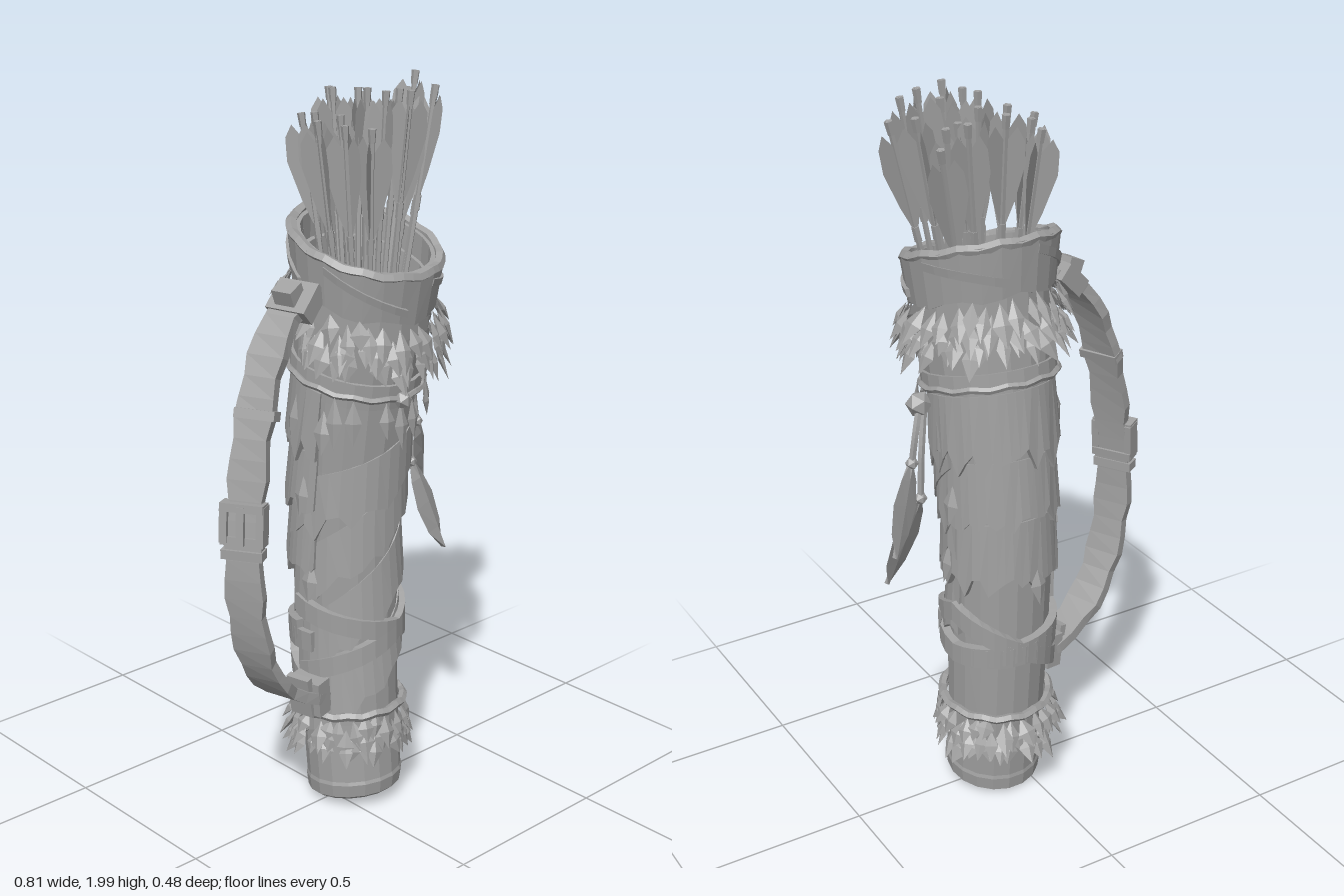
import * as THREE from 'three';
import { mergeGeometries } from 'three/addons/utils/BufferGeometryUtils.js';

const V = (x, y, z) => new THREE.Vector3(x, y, z);
const UP = V(0, 1, 0), rad = THREE.MathUtils.degToRad, lerp = THREE.MathUtils.lerp;
let seed = 7;
const rnd = (a = 0, b = 1) => {
  seed = (seed * 16807) % 2147483647;
  return a + (b - a) * seed / 2147483647;
};

// Quiver profile: height, centre x, centre z, radius
const PROFILE = [
  [0, 0.067, 0.01, 0.128], [0.06, 0.067, 0.01, 0.131], [0.25, 0.067, -0.008, 0.133],
  [0.5, 0.066, -0.022, 0.138], [0.8, 0.066, -0.029, 0.146], [1.0, 0.07, -0.021, 0.153],
  [1.2, 0.075, -0.006, 0.163], [1.4, 0.082, 0.018, 0.173], [1.7, 0.086, 0.03, 0.18],
];

// Point on the leaning quiver wall; rings tilt more toward the mouth
function wall(deg, y, off = 0) {
  let i = 1;
  while (i < PROFILE.length - 1 && y > PROFILE[i][0]) i++;
  const a = PROFILE[i - 1], b = PROFILE[i], t = (y - a[0]) / (b[0] - a[0]);
  const r = lerp(a[3], b[3], t) + off, s = Math.sin(rad(deg)) * r;
  return V(lerp(a[1], b[1], t) + Math.cos(rad(deg)) * r, y + (0.15 - 0.3 * y) * s, lerp(a[2], b[2], t) + s);
}
const outward = deg => V(Math.cos(rad(deg)), 0, Math.sin(rad(deg)));

// Skin a run of cross-section loops, capping the ends when asked
function loft(sections, caps = true) {
  const pos = [], n = sections[0].length;
  const tri = (a, b, c) => pos.push(...a.toArray(), ...b.toArray(), ...c.toArray());
  for (let i = 0; i < sections.length - 1; i++) {
    const p = sections[i], q = sections[i + 1];
    for (let j = 0; j < n; j++) {
      const k = (j + 1) % n;
      tri(p[j], q[j], q[k]);
      tri(p[j], q[k], p[k]);
    }
  }
  if (caps) {
    const s = sections[0], e = sections[sections.length - 1];
    for (let j = 1; j < n - 1; j++) {
      tri(s[0], s[j], s[j + 1]);
      tri(e[0], e[j + 1], e[j]);
    }
  }
  const g = new THREE.BufferGeometry();
  g.setAttribute('position', new THREE.Float32BufferAttribute(pos, 3));
  g.computeVertexNormals();
  return g;
}

// Band around the quiver; top(t) and bottom(t) give its edge heights
function band(a0, a1, n, top, bottom, offTop, offBottom, inner = -0.01) {
  const full = Math.abs(a1 - a0) === 360, out = [];
  for (let i = 0; i <= n; i++) {
    const a = lerp(a0, a1, i / n), yt = top(i / n), yb = bottom(i / n);
    out.push([wall(a, yt, inner), wall(a, yt, offTop), wall(a, yb, offBottom), wall(a, yb, inner)]);
  }
  if (full) out[n] = out[0];
  return loft(out, !full);
}

// Flat diamond lock of fur, or hanging tooth, pointing along dir
function tuft(base, dir, normal, len, width) {
  const y = dir.clone().normalize(), x = y.clone().cross(normal).normalize(), z = x.clone().cross(y);
  const g = new THREE.OctahedronGeometry(1);
  g.scale(width, len / 2, width * 0.4);
  g.applyMatrix4(new THREE.Matrix4().makeBasis(x, y, z).setPosition(base.clone().addScaledVector(y, len / 2)));
  g.deleteAttribute('uv');
  return g;
}

// Rows of fur locks, lying flatter at the front than at the back
function fur(yTop, rows, count, step, off, len) {
  const parts = [];
  for (let r = 0; r < rows; r++) for (let i = 0; i < count; i++) {
    const a = (i + r * 0.5 + rnd(-0.3, 0.3)) * 360 / count, out = outward(a);
    const side = V(-out.z, 0, out.x).multiplyScalar(rnd(-0.35, 0.35));
    const dir = out.clone().multiplyScalar(rnd(0.35, 0.75) * (1 - 0.4 * out.z)).add(side).add(V(0, -1, 0));
    parts.push(tuft(wall(a, yTop - r * step + rnd(-0.01, 0.01), off), dir, out, len * rnd(0.75, 1.2), rnd(0.018, 0.028)));
  }
  return mergeGeometries(parts);
}

function tube(points, radius, seg = 12, closed = false) {
  return new THREE.TubeGeometry(new THREE.CatmullRomCurve3(points, closed), seg, radius, 5, closed);
}

function ring(y, off) {
  return Array.from({ length: 24 }, (_, i) => wall(i * 15, y + (i % 2) * 0.006, off));
}

export function createModel() {
  const model = new THREE.Group();
  const grey = new THREE.MeshStandardMaterial({ color: 0xa0a0a0, flatShading: true, side: THREE.DoubleSide });
  grey.name = 'plain grey';
  const add = (name, geometry, parent = model) => {
    const m = new THREE.Mesh(geometry, grey);
    m.name = name;
    parent.add(m);
    return m;
  };

  // Faceted body with a hollow mouth
  const circle = (y, off) => Array.from({ length: 18 }, (_, i) => wall(i * 20, y, off));
  add('body', loft([circle(0.018, -0.012), circle(0.028, 0), circle(0.065, 0.003), circle(0.075, 0),
    ...[0.25, 0.5, 0.8, 1, 1.2, 1.4, 1.52].map(y => circle(y, 0)), circle(1.52, -0.02), circle(1.25, -0.03)]));

  // Mouth rim with a rolled lip and a slanted lace
  add('rim', band(0, 360, 24, () => 1.585, i => 1.455 + 0.008 * Math.sin(i * 44), 0.024, 0.012, -0.01));
  add('rimLip', tube(ring(1.58, 0.012), 0.015, 48, true));
  for (let k = 0; k < 4; k++)
    add('rimLace', band(k * 90 + 10, k * 90 + 75, 6, t => 1.5 + 0.07 * t, t => 1.478 + 0.07 * t, 0.026, 0.022));

  // Fur collars and their cords
  add('upperFur', fur(1.45, 3, 34, 0.036, 0.016, 0.095));
  add('lowerFur', fur(0.275, 3, 28, 0.03, 0.01, 0.08));
  add('lowerCord', tube(ring(0.28, 0.014), 0.012, 48, true));
  add('upperCord', tube(ring(1.235, 0.012), 0.009, 48, true));
  add('upperBand', band(0, 360, 24, () => 1.275, () => 1.235, 0.008, 0.01));

  // Torn hide: steep diagonal wraps in front, ragged layers behind
  const ragged = (depth, n) => {
    const cuts = Array.from({ length: n + 1 }, (_, i) => depth * rnd(0, i % 3 ? 0.6 : 1.1));
    return t => cuts[Math.round(t * n)];
  };
  for (const [y, rise, width] of [[0.34, 0.36, 0.17], [0.52, 0.44, 0.19], [0.72, 0.44, 0.18], [0.94, 0.28, 0.17]]) {
    const cut = ragged(0.06, 18);
    add('frontWrap', band(200, -15, 18, t => y + rise * t, t => y + rise * t - width - cut(t) + 0.05, 0.002, 0.015));
  }
  for (const y of [1.22, 1.04, 0.87]) {
    const cut = ragged(0.08, 26);
    add('backHide', band(165, 375, 26, () => y, t => y - 0.14 - cut(t), 0.003, 0.017));
  }
  // Loose scraps sticking out at the sides
  for (const [a, y] of [[180, 0.98], [170, 0.74], [195, 1.18], [160, 1.18], [0, 0.8], [20, 0.62], [-15, 0.98], [260, 0.74]]) {
    const out = outward(a);
    add('hideScrap', tuft(wall(a, y, 0.006), out.clone().multiplyScalar(0.15).add(V(0, -1, 0)), out, 0.12, 0.026));
  }

  // Crossed binding straps
  const binding = (a0, a1, y0, y1) =>
    add('bindingStrap', band(a0, a1, 14, t => lerp(y0, y1, t) + 0.028, t => lerp(y0, y1, t) - 0.028, 0.022, 0.022));
  binding(190, -10, 0.6, 0.47);
  binding(190, -10, 0.4, 0.6);
  binding(-10, -170, 0.47, 0.52);
  binding(-10, -170, 0.6, 0.37);
  binding(170, 350, 0.5, 0.47);

  // Carrying strap: a flat loop, turned outward, with clasps and a buckle
  const path = new THREE.CatmullRomCurve3([V(-0.1, 1.48, 0.01), V(-0.17, 1.44, 0.01), V(-0.23, 1.36, 0.015),
    V(-0.3, 1.17, 0.028), V(-0.345, 0.93, 0.045), V(-0.355, 0.75, 0.05), V(-0.32, 0.56, 0.045),
    V(-0.25, 0.44, 0.03), V(-0.15, 0.37, 0.015), V(-0.07, 0.345, 0.01)]);
  const sections = [];
  for (let i = 0; i <= 26; i++) {
    const p = path.getPointAt(i / 26), t = path.getTangentAt(i / 26);
    const w = V(0.1 + 0.5 * Math.sin(Math.PI * i / 26), 0, 1).normalize(), n = t.clone().cross(w).normalize();
    const half = 0.048 + 0.005 * Math.sin(i * 2.1);
    sections.push([[1, 1], [1, -1], [-1, -1], [-1, 1]].map(([a, b]) =>
      p.clone().addScaledVector(w, a * half).addScaledVector(n, b * 0.015)));
  }
  add('carryingStrap', loft(sections));
  const block = (name, x, y, z, w, h, d, tilt, turn = 0.2) => {
    const m = add(name, new THREE.BoxGeometry(w, h, d));
    m.position.set(x, y, z);
    m.rotation.set(0, turn, tilt);
  };
  block('upperClasp', -0.14, 1.46, 0.01, 0.05, 0.09, 0.12, -0.8);
  block('upperKnot', -0.165, 1.48, 0.01, 0.05, 0.05, 0.06, 0.4);
  block('lowerClasp', -0.1, 0.355, 0.01, 0.05, 0.1, 0.1, 0.1);
  block('lowerLoop', -0.13, 0.36, 0.01, 0.02, 0.12, 0.07, 0.2);
  block('strapKeeper', -0.355, 0.85, 0.047, 0.042, 0.025, 0.11, 0, 0.54);
  block('strapKeeper', -0.29, 1.2, 0.03, 0.042, 0.025, 0.11, -0.3, 0.45);
  for (const s of [-1, 1]) {
    block('buckleBar', -0.352, 0.93 + s * 0.045, 0.046, 0.045, 0.022, 0.115, -0.1, 0.54);
    block('buckleSide', -0.352 + s * 0.025, 0.93, 0.046 + s * 0.042, 0.045, 0.1, 0.02, -0.1, 0.54);
  }
  block('bucklePin', -0.372, 0.93, 0.056, 0.014, 0.1, 0.02, -0.1, 0.54);

  // Arrows: widely splayed shafts, nocks and three broad vanes each
  const vane = new THREE.Shape([[0.004, -0.25], [0.03, -0.17], [0.054, -0.07], [0.05, -0.01], [0.03, 0.02], [0.004, -0.02]]
    .map(p => new THREE.Vector2(...p)));
  const ARROWS = 22;
  for (let i = 0; i < ARROWS; i++) {
    const rho = Math.sqrt((i + 0.5) / ARROWS), a = i * 2.4, c = rho * Math.cos(a), s = rho * Math.sin(a);
    const foot = V(0.09 + 0.08 * c, 1.26, 0.02 + 0.08 * s);
    const tip = V(0.125 + 0.21 * c, i === 8 ? 1.995 : rnd(1.88, 1.97), 0.16 * s);
    const arrow = new THREE.Group(), len = tip.distanceTo(foot);
    arrow.name = 'arrow';
    arrow.position.copy(tip);
    arrow.quaternion.setFromUnitVectors(UP, tip.clone().sub(foot).normalize());
    add('shaft', new THREE.CylinderGeometry(0.007, 0.008, len, 5), arrow).position.y = -len / 2;
    add('nock', new THREE.CylinderGeometry(0.011, 0.009, 0.035, 5), arrow).position.y = -0.018;
    add('binding', new THREE.CylinderGeometry(0.01, 0.01, 0.04, 5), arrow).position.y = -0.3;
    const spin = rnd(0, 6);
    for (let k = 0; k < 3; k++) {
      const m = add('vane', new THREE.ShapeGeometry(vane), arrow);
      m.rotation.y = spin + k * Math.PI * 2 / 3;
      m.position.y = -0.045;
    }
    model.add(arrow);
  }

  // Hanging feathers: folded leaf blades on cords at the left side
  const normal = V(0.4, 0, 0.92);
  const feather = (knot, root, tip, width) => {
    add('featherCord', tube([knot, V((knot.x + root.x) / 2 + 0.01, (knot.y + root.y) / 2, root.z), root], 0.009));
    const d = tip.clone().sub(root), side = d.clone().cross(normal).normalize();
    add('feather', loft([[0, 0.1], [0.18, 0.65], [0.45, 1], [0.75, 0.75], [1, 0.02]].map(([t, w]) => {
      const c = root.clone().addScaledVector(d, t);
      return [c.clone().addScaledVector(side, w * width), c.clone().addScaledVector(normal, 0.012),
        c.clone().addScaledVector(side, -w * width), c.clone().addScaledVector(normal, -0.004)];
    })));
    add('featherBead', new THREE.IcosahedronGeometry(0.018, 0)).position.copy(root);
  };
  feather(V(0.26, 1.2, 0.03), V(0.305, 1.04, 0), V(0.395, 0.82, -0.07), 0.05);
  feather(V(0.25, 1.18, 0.03), V(0.28, 0.93, 0.005), V(0.358, 0.67, 0.055), 0.055);
  add('featherKnot', new THREE.IcosahedronGeometry(0.035, 0)).position.set(0.265, 1.185, 0.03);

  // Teeth and cord ends hanging from the upper cord
  for (const [a, len] of [[82, 0.11], [95, 0.13], [108, 0.1], [135, 0.12], [150, 0.14], [55, 0.08], [35, 0.1]]) {
    const out = outward(a);
    add('hangingTooth', tuft(wall(a, 1.235, 0.02), out.clone().multiplyScalar(0.08).add(V(0, -1, 0)), out, len, 0.022));
  }
  add('cordKnot', new THREE.IcosahedronGeometry(0.025, 0)).position.copy(wall(92, 1.235, 0.018));
  return model;
}
